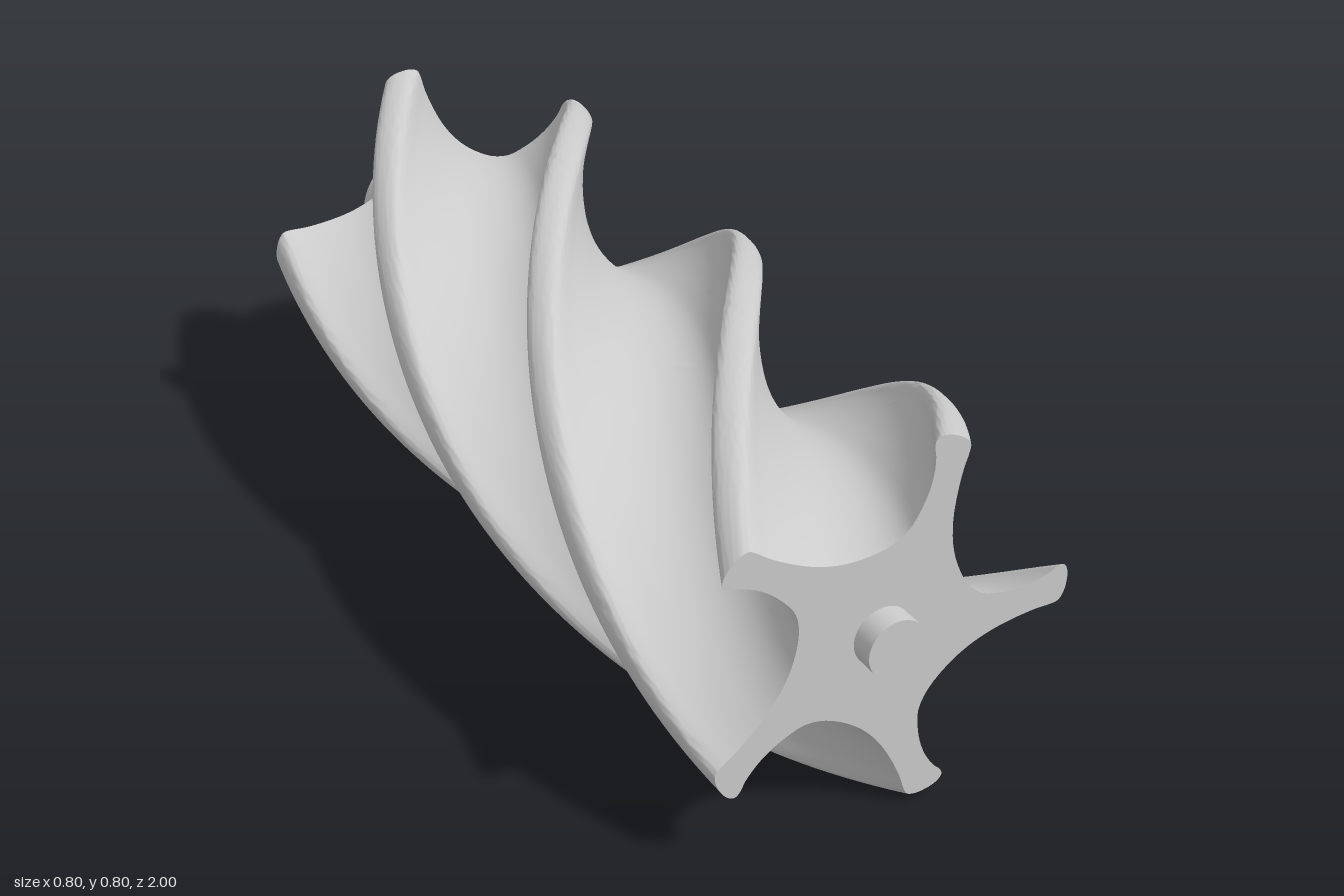
import * as THREE from 'three';
import { toCreasedNormals } from 'three/addons/utils/BufferGeometryUtils.js';

const LOBES = 5, AXIS_Y = 0.4, FRONT = 0.95, BACK = -0.86;
const TWIST = THREE.MathUtils.degToRad(101.4); // radians per unit of length

// One lobe and the asymmetric flute after it, counter-clockwise around the axis
const LOBE = [
  [0.369, -0.0515], [0.384, -0.048], [0.395, -0.03], [0.399, -0.01], [0.3995, 0.005], [0.396, 0.02],
  [0.388, 0.029], [0.375, 0.028], [0.355, 0.018], [0.32, 0.009], [0.285, 0.007],
  [0.25, 0.011], [0.21, 0.023], [0.178, 0.053], [0.152, 0.104], [0.14, 0.15],
  [0.137, 0.2], [0.142, 0.25], [0.152, 0.3],
];

function rotorProfile() {
  const points = [];
  for (let i = 0; i < LOBES; i++) {
    const turn = new THREE.Vector3(0, 0, 1);
    for (const [x, y] of LOBE) {
      points.push(new THREE.Vector3(x, y, 0).applyAxisAngle(turn, (i * 2 * Math.PI) / LOBES));
    }
  }
  const curve = new THREE.CatmullRomCurve3(points, true, 'centripetal');
  const outline = curve.getPoints(points.length * 3).slice(0, -1);
  return new THREE.Shape(outline.map((p) => new THREE.Vector2(p.x, p.y)));
}

// Straight extrusion, then every vertex is turned in proportion to its distance from the front
function rotorGeometry() {
  const geometry = new THREE.ExtrudeGeometry(rotorProfile(), {
    depth: FRONT - BACK, steps: 90, bevelEnabled: false,
  });
  geometry.translate(0, 0, BACK);
  const pos = geometry.attributes.position;
  const v = new THREE.Vector3(), axis = new THREE.Vector3(0, 0, 1);
  for (let i = 0; i < pos.count; i++) {
    v.fromBufferAttribute(pos, i);
    v.applyAxisAngle(axis, -TWIST * (FRONT - v.z));
    pos.setXYZ(i, v.x, v.y, v.z);
  }
  return toCreasedNormals(geometry, 0.7);
}

export function createModel() {
  const group = new THREE.Group();
  group.name = 'screwRotor';
  const material = new THREE.MeshStandardMaterial({ color: 0xcccccc });

  function add(name, geometry) {
    const mesh = new THREE.Mesh(geometry, material);
    mesh.name = name;
    mesh.position.y = AXIS_Y;
    group.add(mesh);
  }

  // Shaft stub along z between two depths
  function stub(name, radius, z0, z1) {
    const geometry = new THREE.CylinderGeometry(radius, radius, z1 - z0, 64);
    geometry.rotateX(Math.PI / 2).translate(0, 0, (z0 + z1) / 2);
    add(name, geometry);
  }

  add('helicalRotor', rotorGeometry());
  stub('frontShaft', 0.06, FRONT - 0.02, 1);
  stub('backShaft', 0.13, -1, BACK + 0.02);
  return group;
}
